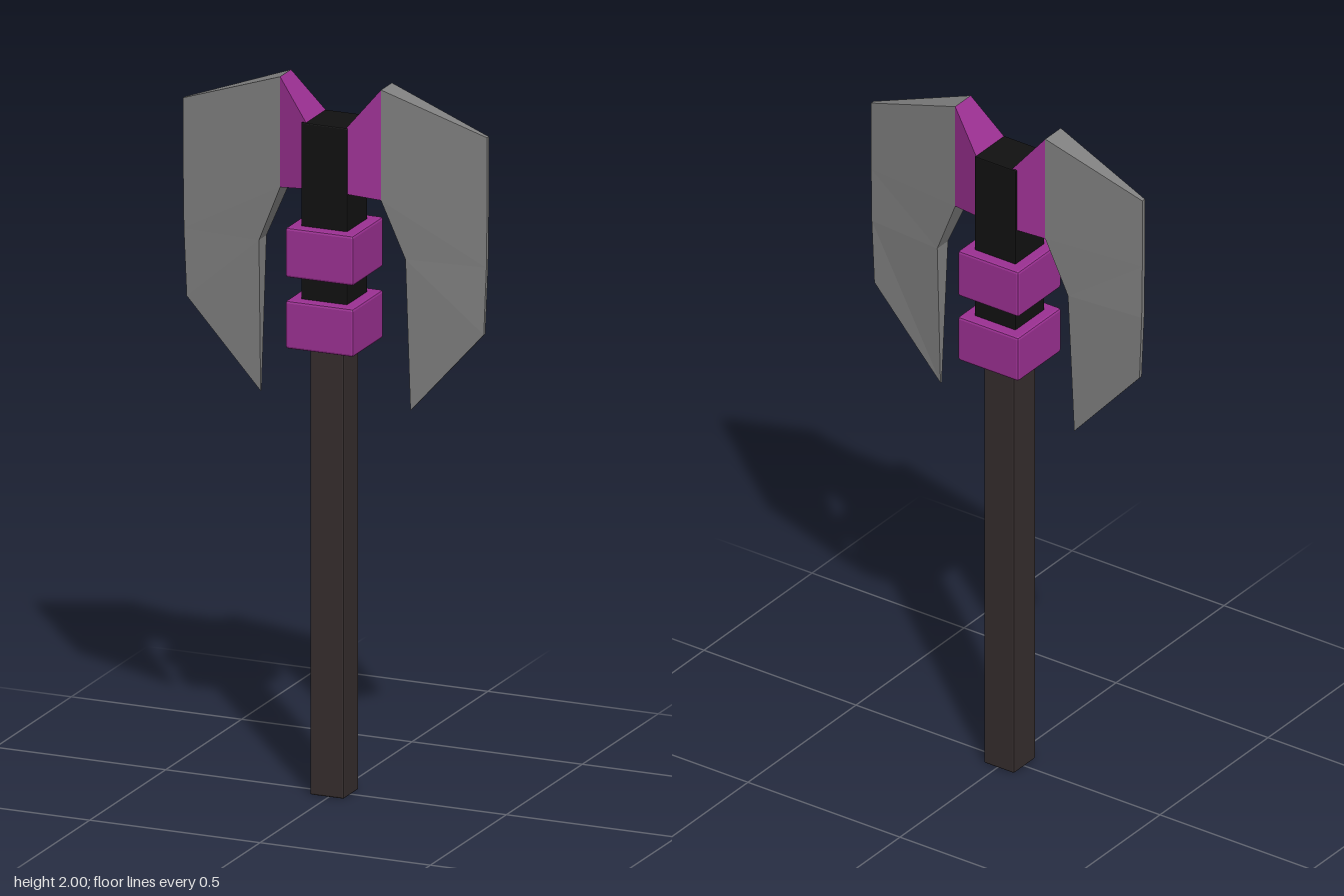
import * as THREE from 'three';
import { RoundedBoxGeometry } from 'three/addons/geometries/RoundedBoxGeometry.js';

const material = (color) => new THREE.MeshStandardMaterial({ color, flatShading: true });

// Solid lofted downwards through rows of [innerX, innerY, innerHalfZ, outerX, outerY, outerHalfZ].
function loft(rows, side) {
  const rings = rows.map(([ix, iy, iz, ox, oy, oz]) => [
    [ix * side, iy, iz], [ox * side, oy, oz], [ox * side, oy, -oz], [ix * side, iy, -iz],
  ]);
  const positions = [];
  const quad = (a, b, c, d) => {
    const corners = side > 0 ? [a, b, c, a, c, d] : [a, c, b, a, d, c];
    corners.forEach((p) => positions.push(...p));
  };
  for (let r = 0; r < rings.length - 1; r++) {
    const a = rings[r], b = rings[r + 1];
    for (let i = 0; i < 4; i++) {
      const j = (i + 1) % 4;
      quad(a[i], b[i], b[j], a[j]);
    }
  }
  quad(...rings[0]);
  quad(...[...rings[rings.length - 1]].reverse());
  const geometry = new THREE.BufferGeometry();
  geometry.setAttribute('position', new THREE.Float32BufferAttribute(positions, 3));
  geometry.computeVertexNormals();
  return geometry;
}

export function createModel() {
  const group = new THREE.Group();
  const wood = material(0x352d2d);
  const black = material(0x111111);
  const purple = material(0x9b3092);
  const steel = material(0x808080);

  const add = (name, geometry, mat) => {
    const mesh = new THREE.Mesh(geometry, mat);
    mesh.name = name;
    group.add(mesh);
    return mesh;
  };

  // Square bar with slightly softened edges, between two heights
  const bar = (name, width, y0, y1, radius, mat) => {
    const mesh = add(name, new RoundedBoxGeometry(width, y1 - y0, width, 1, radius), mat);
    mesh.position.set(-0.005, (y0 + y1) / 2, 0);
  };

  bar('shaft', 0.1, 0, 1.3, 0.005, wood);
  bar('headCore', 0.135, 1.3, 1.89, 0.003, black);
  bar('lowerCollar', 0.2, 1.26, 1.395, 0.007, purple);
  bar('upperCollar', 0.2, 1.46, 1.6, 0.007, purple);

  // Flared mount and tapering blade on each side
  const mountRows = [
    [0.055, 1.885, 0.066, 0.148, 2.0, 0.036],
    [0.055, 1.705, 0.066, 0.148, 1.69, 0.036],
  ];
  const bladeRows = [
    [0.148, 2.0, 0.036, 0.446, 1.895, 0.006],
    [0.148, 1.69, 0.036, 0.446, 1.69, 0.006],
    [0.215, 1.53, 0.025, 0.444, 1.53, 0.006],
    [0.22, 1.1, 0.003, 0.436, 1.34, 0.005],
  ];
  for (const [label, side] of [['left', 1], ['right', -1]]) {
    add(label + 'Mount', loft(mountRows, side), purple);
    add(label + 'Blade', loft(bladeRows, side), steel);
  }
  return group;
}
